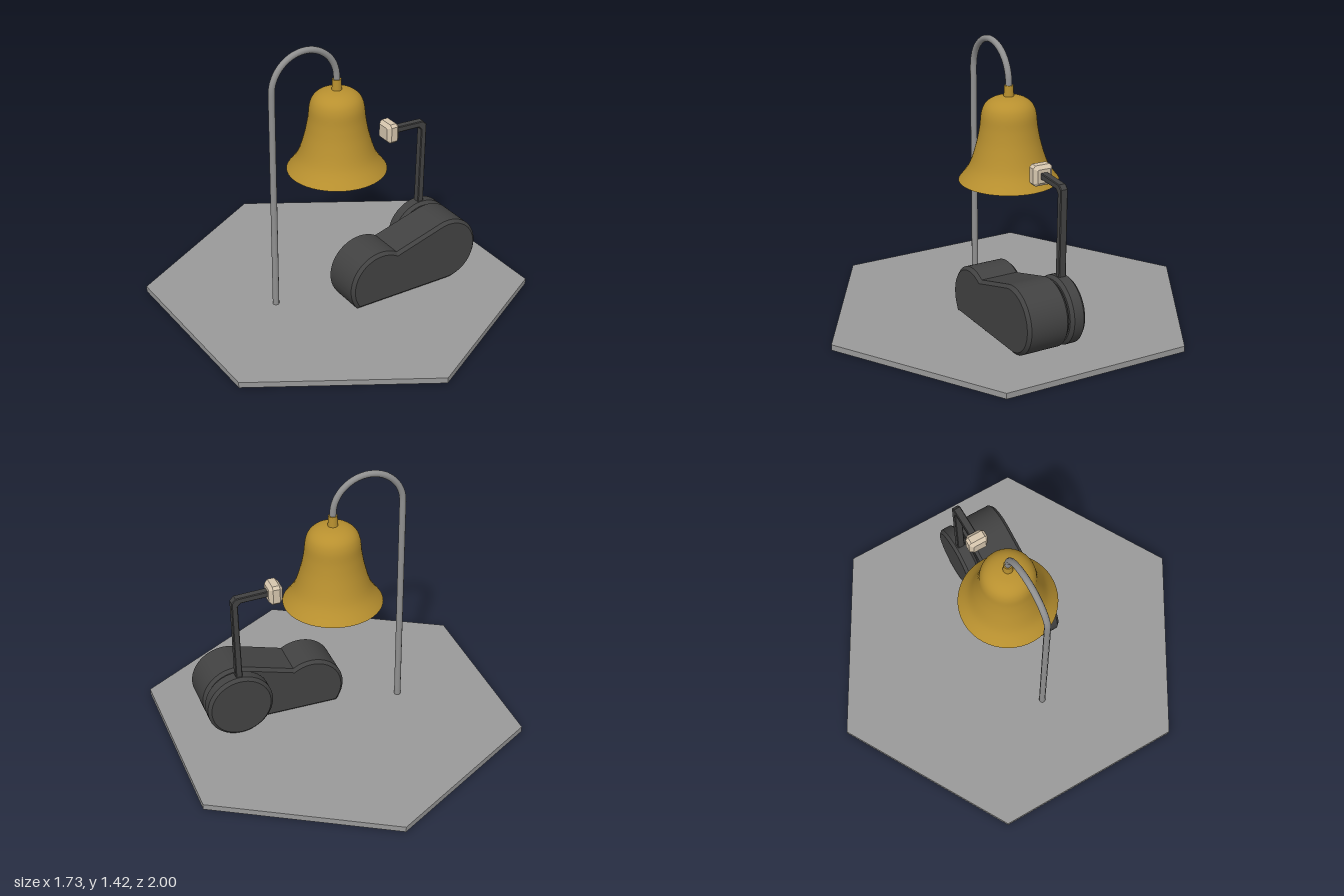
import * as THREE from 'three';
import { toCreasedNormals } from 'three/addons/utils/BufferGeometryUtils.js';

const mat = (color) => new THREE.MeshStandardMaterial({ color });
const V = (x, y, z = 0) => new THREE.Vector3(x, y, z);

// Bevelled extrusion whose outer size matches the shape, from z = z0 to z1.
function slab(shape, z0, z1, bevel, crease = 0.5) {
  const geo = new THREE.ExtrudeGeometry(shape, {
    depth: z1 - z0 - 2 * bevel, curveSegments: 28, bevelEnabled: bevel > 0,
    bevelThickness: bevel, bevelSize: bevel, bevelOffset: -bevel, bevelSegments: 1,
  });
  geo.translate(0, 0, z0 + bevel);
  return toCreasedNormals(geo, crease);
}

const polygon = (pts) => new THREE.Shape(pts.map(([x, y]) => new THREE.Vector2(x, y)));

export function createModel() {
  const model = new THREE.Group();
  const add = (name, geo, material) => {
    const mesh = new THREE.Mesh(geo, material);
    mesh.name = name;
    model.add(mesh);
    return mesh;
  };
  const steel = mat(0x909090), brass = mat(0xb8902f), dark = mat(0x424242);

  // Hexagonal base plate
  const base = new THREE.CylinderGeometry(1, 1, 0.03, 6).toNonIndexed();
  base.computeVertexNormals();
  add('base', base, mat(0x999999)).position.y = 0.015;

  // Hooked pole: straight upright followed by a half circle
  const path = new THREE.CurvePath();
  path.add(new THREE.LineCurve3(V(-0.37, 0.02), V(-0.37, 1.22)));
  const hook = [];
  for (let i = 0; i <= 16; i++) {
    const a = Math.PI * (1 - i / 16);
    hook.push(V(-0.185 + 0.185 * Math.cos(a), 1.22 + 0.185 * Math.sin(a)));
  }
  path.add(new THREE.CatmullRomCurve3(hook));
  path.add(new THREE.LineCurve3(V(0, 1.22), V(0, 1.19)));
  add('pole', new THREE.TubeGeometry(path, 100, 0.017, 10), steel);

  // Bell with a closed mouth, and the collar it hangs from
  const flare = new THREE.SplineCurve([
    [0.255, 0.72], [0.2, 0.8], [0.164, 0.91], [0.146, 1.0], [0.137, 1.075],
    [0.115, 1.12], [0.07, 1.148], [0, 1.16],
  ].map(([x, y]) => new THREE.Vector2(x, y))).getPoints(32);
  flare[flare.length - 1].x = 0;
  add('bell', new THREE.LatheGeometry(flare, 48), brass);
  const mouth = new THREE.CircleGeometry(0.255, 48).rotateX(Math.PI / 2);
  add('bellMouth', mouth, brass).position.y = 0.72;
  add('bellCollar', new THREE.CylinderGeometry(0.023, 0.026, 0.06, 16), brass).position.y = 1.182;

  // Motor housing: two lobes joined by a sloping top and a flat bottom
  const housing = new THREE.Shape();
  const deg = Math.PI / 180;
  housing.moveTo(-0.042, 0.03);
  housing.lineTo(0.515, 0.03);
  housing.absarc(0.515, 0.205, 0.175, -90 * deg, 107 * deg, false);
  housing.absarc(0.1, 0.14, 0.18, 58 * deg, 217.6 * deg, false);
  add('motorHousing', slab(housing, 0.05, 0.28, 0.016), dark);

  // Turning disc behind the housing, with its short axle
  const disc = new THREE.Shape().absarc(0.515, 0.205, 0.175, 0, Math.PI * 2, false);
  add('disc', slab(disc, -0.042, 0.042, 0.016), dark);
  const axle = new THREE.CylinderGeometry(0.14, 0.14, 0.03, 32).rotateX(Math.PI / 2);
  add('axle', axle, dark).position.set(0.515, 0.205, 0.046);

  // Bent striker arm
  const arm = polygon([
    [0.495, 0.33], [0.53, 0.33], [0.538, 0.83], [0.517, 0.852],
    [0.34, 0.86], [0.34, 0.827], [0.49, 0.822], [0.506, 0.805],
  ]);
  add('strikerArm', slab(arm, -0.02, 0.02, 0.004), dark);

  // Chamfered hammer head, facing the bell
  const h = 0.053, c = 0.014;
  const face = polygon([
    [h, -h + c], [h, h - c], [h - c, h], [-h + c, h],
    [-h, h - c], [-h, -h + c], [-h + c, -h], [h - c, -h],
  ]);
  const head = slab(face, -0.036, 0.036, 0.018, 0.1).rotateY(Math.PI / 2);
  add('hammerHead', head, mat(0xd6c6ae)).position.set(0.315, 0.842, 0);

  return model;
}
